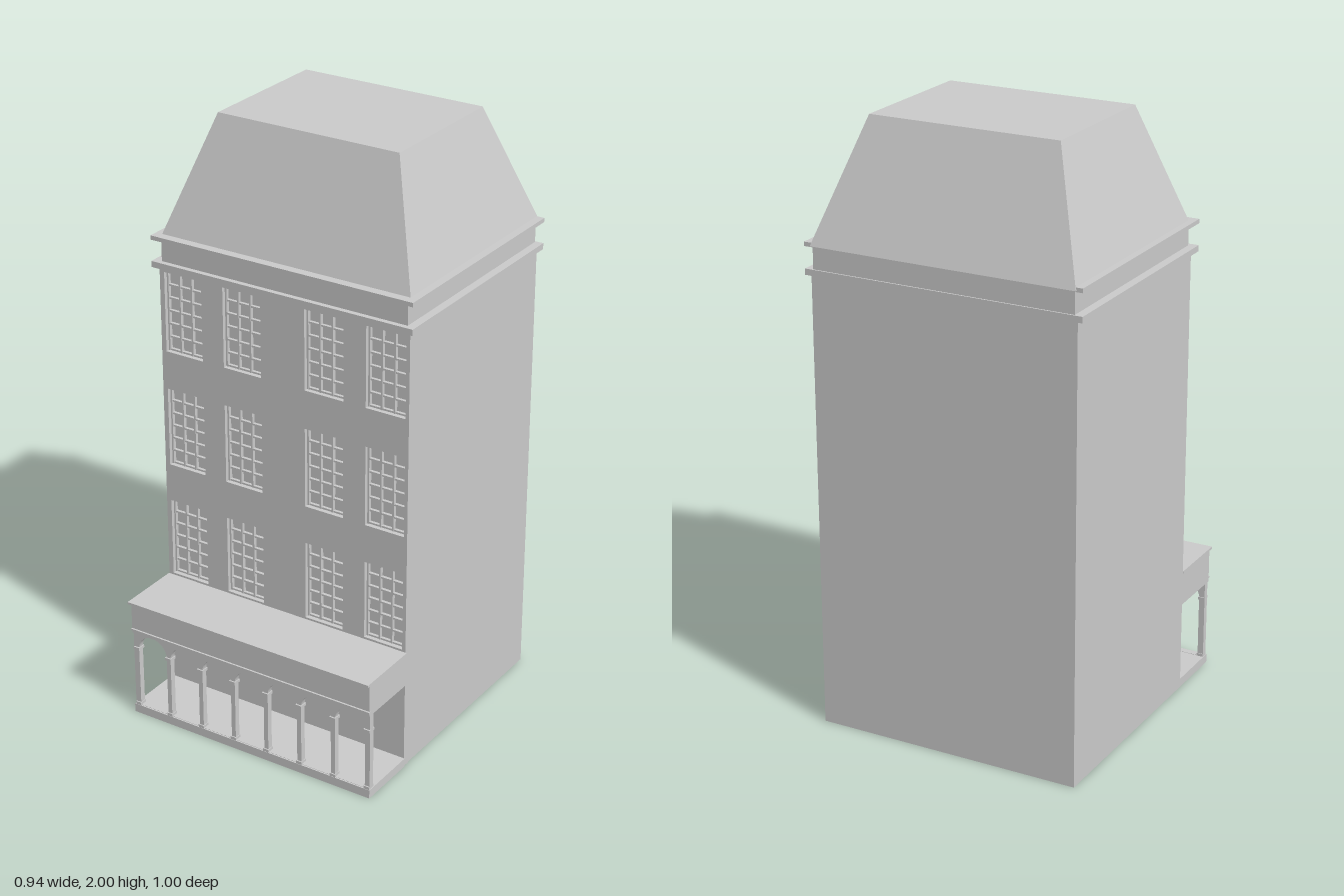
import * as THREE from 'three';

const material = new THREE.MeshStandardMaterial({ color: 0xcccccc, flatShading: true });

function add(parent, name, geometry) {
  const mesh = new THREE.Mesh(geometry, material);
  mesh.name = name;
  parent.add(mesh);
  return mesh;
}

// Box given by its limits on each axis
function box(parent, name, x0, x1, y0, y1, z0, z1) {
  const mesh = add(parent, name, new THREE.BoxGeometry(x1 - x0, y1 - y0, z1 - z0));
  mesh.position.set((x0 + x1) / 2, (y0 + y1) / 2, (z0 + z1) / 2);
  return mesh;
}

function rectangle(PathType, x0, x1, y0, y1) {
  const p = new PathType();
  p.moveTo(x0, y0);
  p.lineTo(x1, y0);
  p.lineTo(x1, y1);
  p.lineTo(x0, y1);
  p.closePath();
  return p;
}

function panel(parent, name, shape, z0, z1) {
  const geometry = new THREE.ExtrudeGeometry(shape, { depth: z1 - z0, bevelEnabled: false, curveSegments: 16 });
  add(parent, name, geometry).position.z = z0;
}

// Window sash: two mullions and five glazing bars in a thin frame
function windowSash(parent, x0, x1, y0, y1) {
  const sash = new THREE.Group();
  sash.name = 'windowSash';
  const w = 0.006, zBack = 0.25, zFront = 0.262;
  for (let i = 0; i <= 3; i++) {
    const x = x0 + w / 2 + (x1 - x0 - w) * i / 3;
    box(sash, 'mullion', x - w / 2, x + w / 2, y0, y1, zBack, zFront);
  }
  for (let i = 0; i <= 6; i++) {
    const y = y0 + w / 2 + (y1 - y0 - w) * i / 6;
    box(sash, 'glazingBar', x0, x1, y - w / 2, y + w / 2, zBack, zFront - 0.002);
  }
  parent.add(sash);
}

export function createModel() {
  const model = new THREE.Group();
  model.name = 'townhouse';

  // Main block with its pierced front wall
  box(model, 'mainBlock', -0.457, 0.45, 0, 1.53, -0.49, 0.25);
  const facade = rectangle(THREE.Shape, -0.457, 0.452, 0, 1.53);
  for (const y of [0.43, 0.83, 1.23]) {
    for (const x of [-0.44, -0.22, 0.08, 0.3]) {
      facade.holes.push(rectangle(THREE.Path, x, x + 0.14, y, y + 0.27));
      windowSash(model, x, x + 0.14, y, y + 0.27);
    }
  }
  panel(model, 'frontWall', facade, 0.25, 0.275);

  // Frieze between two cornices
  box(model, 'lowerCornice', -0.475, 0.47, 1.515, 1.535, -0.495, 0.292);
  box(model, 'frieze', -0.447, 0.443, 1.535, 1.606, -0.49, 0.275);
  box(model, 'upperCornice', -0.475, 0.47, 1.606, 1.62, -0.495, 0.292);

  // Mansard roof: a box whose upper corners are drawn inward
  const roof = new THREE.BoxGeometry(1, 1, 1);
  const p = roof.attributes.position;
  for (let i = 0; i < p.count; i++) {
    const top = p.getY(i) > 0, right = p.getX(i) > 0, front = p.getZ(i) > 0;
    p.setXYZ(i,
      right ? (top ? 0.32 : 0.447) : (top ? -0.325 : -0.455),
      top ? 2 : 1.61,
      front ? (top ? 0.132 : 0.266) : (top ? -0.35 : -0.5));
  }
  roof.computeVertexNormals();
  add(model, 'mansardRoof', roof);

  // Arcade in front of the ground floor
  const arcade = new THREE.Group();
  arcade.name = 'arcade';
  model.add(arcade);
  box(arcade, 'arcadeFloor', -0.457, 0.455, 0, 0.03, 0.275, 0.485);
  box(arcade, 'arcadeHeader', -0.457, 0.453, 0.302, 0.415, 0.275, 0.484);
  box(arcade, 'arcadeRoof', -0.459, 0.457, 0.415, 0.423, 0.275, 0.5);
  box(arcade, 'headerMoulding', -0.457, 0.455, 0.313, 0.319, 0.48, 0.49);

  // Seven round arches on slim piers
  const pitch = 0.1265, radius = 0.0555, spring = 0.245;
  const arches = rectangle(THREE.Shape, -0.455, 0.453, 0.03, 0.304);
  for (let i = -3; i <= 3; i++) {
    const c = i * pitch, hole = new THREE.Path();
    hole.moveTo(c - radius, 0.031);
    hole.lineTo(c + radius, 0.031);
    hole.lineTo(c + radius, spring);
    hole.absarc(c, spring, radius, 0, Math.PI, false);
    hole.closePath();
    arches.holes.push(hole);
  }
  panel(arcade, 'archWall', arches, 0.46, 0.48);
  for (let i = 0; i < 8; i++) {
    const x = (i - 3.5) * pitch;
    box(arcade, 'pierCapital', x - 0.011, x + 0.011, 0.24, 0.25, 0.457, 0.485);
    box(arcade, 'pierBase', x - 0.01, x + 0.01, 0.03, 0.04, 0.458, 0.484);
  }

  return model;
}
